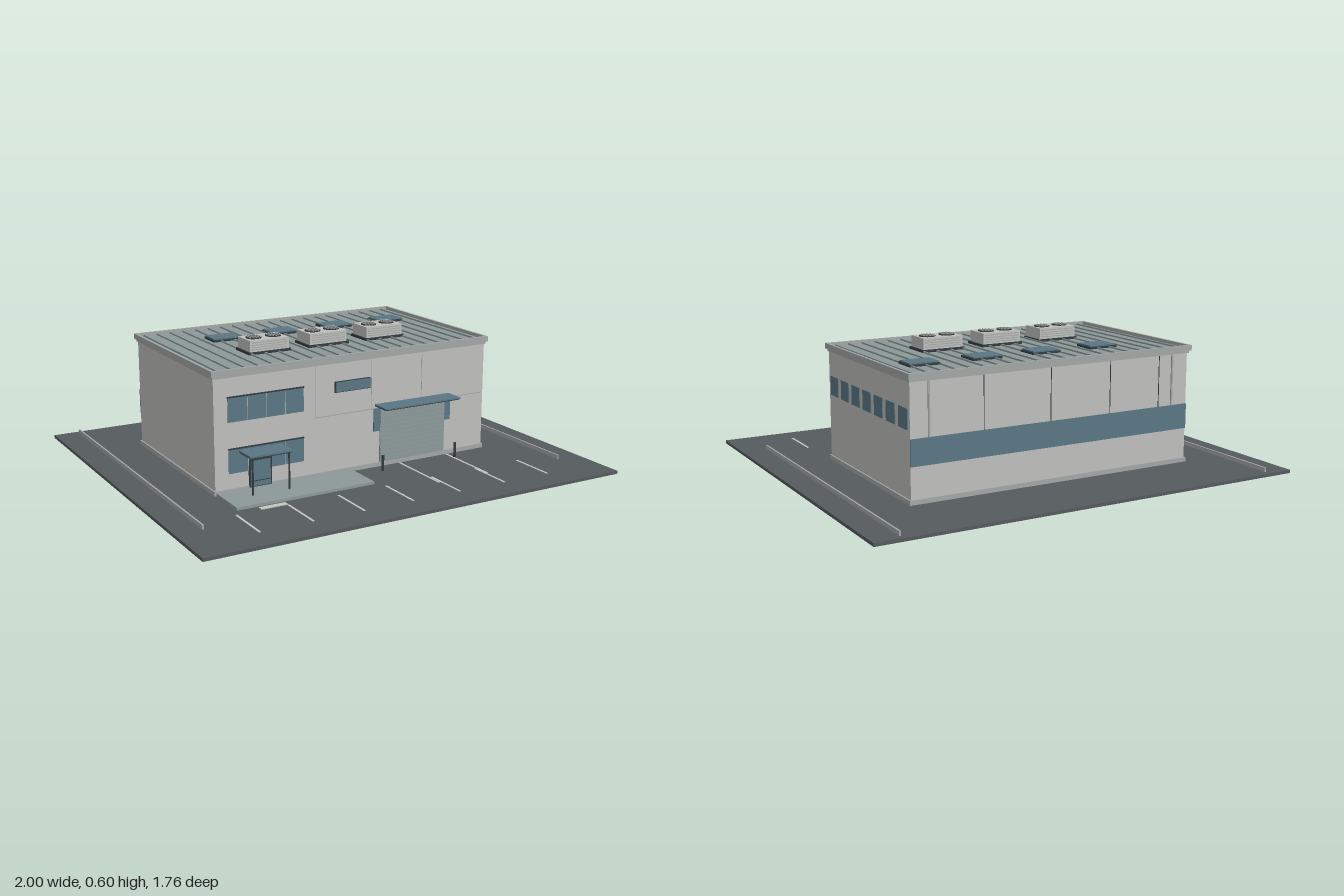
import * as THREE from 'three';

const mat = (name, color) => {
  const m = new THREE.MeshStandardMaterial({ color });
  m.name = name;
  return m;
};

export function createModel() {
  const asphalt = mat('asphalt', 0x565b5f);
  const wall = mat('wall panel', 0xbfc0bd);
  const trim = mat('trim grey', 0xa3a8a6);
  const roofing = mat('roof metal', 0x8d9999);
  const blue = mat('blue glass and canopy', 0x5a7784);
  const dark = mat('dark metal', 0x343b3f);
  const marking = mat('pale marking', 0xc6c8c2);

  const model = new THREE.Group();
  model.name = 'warehouse';

  // Box given by its limits on each axis
  const box = (name, m, x0, x1, y0, y1, z0, z1, parent = model) => {
    const mesh = new THREE.Mesh(new THREE.BoxGeometry(x1 - x0, y1 - y0, z1 - z0), m);
    mesh.position.set((x0 + x1) / 2, (y0 + y1) / 2, (z0 + z1) / 2);
    mesh.name = name;
    parent.add(mesh);
    return mesh;
  };
  const post = (name, m, x, z, r, y0, y1, parent = model) => {
    const mesh = new THREE.Mesh(new THREE.CylinderGeometry(r, r, y1 - y0, 16), m);
    mesh.position.set(x, (y0 + y1) / 2, z);
    mesh.name = name;
    parent.add(mesh);
    return mesh;
  };

  // Site: yard, kerbs, walkway and painted lines
  box('yard', asphalt, -1, 1, 0, 0.014, -0.88, 0.88);
  for (const s of [-1, 1]) {
    box('kerb', trim, s * 0.882 - 0.004, s * 0.882 + 0.004, 0.014, 0.033, -0.85, 0.62);
  }
  box('walkway', roofing, -0.68, -0.03, 0.014, 0.026, 0.3, 0.5);
  for (let i = -3; i <= 3; i++) {
    const x = i * 0.235;
    box('parkingLine', marking, x - 0.005, x + 0.005, 0.014, 0.016, 0.545, 0.755);
  }
  for (const x of [0.222, 0.479]) {
    box('dockLaneLine', marking, x - 0.005, x + 0.005, 0.014, 0.0165, 0.31, 0.62);
  }
  box('entranceMarking', marking, -0.59, -0.47, 0.014, 0.018, 0.516, 0.54);

  // Main block
  box('plinth', trim, -0.69, 0.69, 0.014, 0.034, -0.536, 0.305);
  box('walls', wall, -0.683, 0.683, 0.034, 0.515, -0.53, 0.3);
  box('eaveBand', trim, -0.688, 0.688, 0.513, 0.526, -0.537, 0.305);

  // Roof deck with standing seams, and parapet ring
  box('roofDeck', roofing, -0.685, 0.685, 0.524, 0.534, -0.535, 0.302);
  for (let i = 0; i < 21; i++) {
    const x = -0.65 + i * 0.065;
    box('roofSeam', roofing, x - 0.004, x + 0.004, 0.534, 0.541, -0.533, 0.3);
  }
  for (const s of [-1, 1]) {
    box('parapetSide', trim, s * 0.689 - 0.006, s * 0.689 + 0.006, 0.524, 0.549, -0.548, 0.313);
  }
  box('parapetFront', trim, -0.683, 0.683, 0.524, 0.549, 0.301, 0.313);
  box('parapetBack', trim, -0.683, 0.683, 0.524, 0.549, -0.548, -0.536);

  // Skylights
  for (let i = 0; i < 4; i++) {
    const x = -0.357 + i * 0.294;
    box('skylightFrame', dark, x - 0.07, x + 0.07, 0.534, 0.543, -0.352, -0.244);
    box('skylightGlass', blue, x - 0.067, x + 0.067, 0.543, 0.549, -0.345, -0.251);
  }

  // Rooftop cooling units with louvres and twin fans
  for (let i = -1; i <= 1; i++) {
    const unit = new THREE.Group();
    unit.name = 'coolingUnit';
    unit.position.x = -0.004 + i * 0.296;
    model.add(unit);
    box('unitCurb', dark, -0.103, 0.103, 0.534, 0.545, -0.067, 0.067, unit);
    box('unitCase', wall, -0.095, 0.095, 0.545, 0.595, -0.06, 0.06, unit);
    for (let j = 0; j < 4; j++) {
      const y = 0.554 + j * 0.01;
      for (const z of [-0.061, 0.061]) {
        box('louvre', trim, -0.085, 0.085, y, y + 0.003, z - 0.002, z + 0.002, unit);
      }
    }
    for (const x of [-0.048, 0.048]) {
      post('fanWell', dark, x, 0, 0.036, 0.594, 0.599, unit);
      for (let k = -2; k <= 2; k++) {
        const dx = k * 0.0125;
        const h = Math.sqrt(0.034 ** 2 - dx * dx);
        box('fanGrille', trim, x + dx - 0.002, x + dx + 0.002, 0.599, 0.602, -h, h, unit);
      }
    }
  }

  // Front window bands, four panes each
  for (const [y0, y1] of [[0.322, 0.43], [0.1, 0.207]]) {
    box('frontGlass', blue, -0.62, -0.265, y0, y1, 0.3, 0.304);
    box('windowHead', dark, -0.622, -0.263, y1 - 0.003, y1 + 0.002, 0.3, 0.307);
    for (const x of [-0.531, -0.4425, -0.354]) {
      box('mullion', trim, x - 0.0015, x + 0.0015, y0, y1 - 0.003, 0.3, 0.306);
    }
  }

  // Entrance door and canopy
  box('doorFrame', dark, -0.528, -0.422, 0.026, 0.148, 0.3, 0.307);
  box('doorGlass', blue, -0.521, -0.429, 0.055, 0.142, 0.3, 0.31);
  box('doorKickPlate', blue, -0.521, -0.429, 0.03, 0.05, 0.3, 0.31);
  box('entranceCanopy', blue, -0.572, -0.374, 0.189, 0.197, 0.3, 0.408);
  box('entranceCanopyEdge', dark, -0.57, -0.376, 0.185, 0.189, 0.3, 0.406);
  for (const x of [-0.558, -0.388]) post('canopyPost', dark, x, 0.4, 0.004, 0.026, 0.186);

  // Blank name board
  box('nameBoardFrame', dark, -0.111, 0.067, 0.383, 0.432, 0.3, 0.305);
  box('nameBoard', blue, -0.107, 0.063, 0.386, 0.429, 0.3, 0.308);

  // Loading door with slats, side glazing, canopy and bollards
  box('loadingDoor', roofing, 0.12, 0.466, 0.034, 0.284, 0.3, 0.306);
  for (let i = 1; i < 12; i++) {
    const y = 0.034 + i * 0.0208;
    box('doorSlat', roofing, 0.121, 0.465, y - 0.003, y + 0.003, 0.305, 0.309);
  }
  box('sideGlassLeft', blue, 0.466, 0.498, 0.18, 0.284, 0.3, 0.305);
  box('sideGlassRight', blue, 0.087, 0.12, 0.18, 0.284, 0.3, 0.305);
  box('dockCanopy', blue, 0.094, 0.49, 0.298, 0.304, 0.3, 0.393);
  box('dockCanopyEdge', dark, 0.096, 0.488, 0.294, 0.298, 0.3, 0.391);
  for (const x of [0.098, 0.487]) post('bollard', dark, x, 0.366, 0.006, 0.014, 0.086);

  // Front panel joints
  box('frontJoint', trim, -0.207, 0.676, 0.282, 0.286, 0.3, 0.302);
  for (const x of [-0.205, 0.075, 0.34]) {
    box('frontPanelJoint', trim, x - 0.001, x + 0.001, 0.286, 0.513, 0.3, 0.3015);
  }

  // Left side windows
  for (let i = 0; i < 7; i++) {
    const z = 0.236 - i * 0.118;
    box('sideWindow', blue, 0.683, 0.687, 0.317, 0.404, z - 0.042, z + 0.042);
  }

  // Back: blue band, panel joints and downpipes
  box('backBand', blue, -0.684, 0.684, 0.17, 0.283, -0.534, -0.53);
  for (const x of [-0.53, -0.27, 0.03, 0.35]) {
    box('backPanelJoint', dark, x - 0.0015, x + 0.0015, 0.283, 0.513, -0.532, -0.53);
  }
  for (const x of [-0.6, 0.6]) {
    box('downpipe', trim, x - 0.004, x + 0.004, 0.283, 0.513, -0.536, -0.53);
  }

  return model;
}
